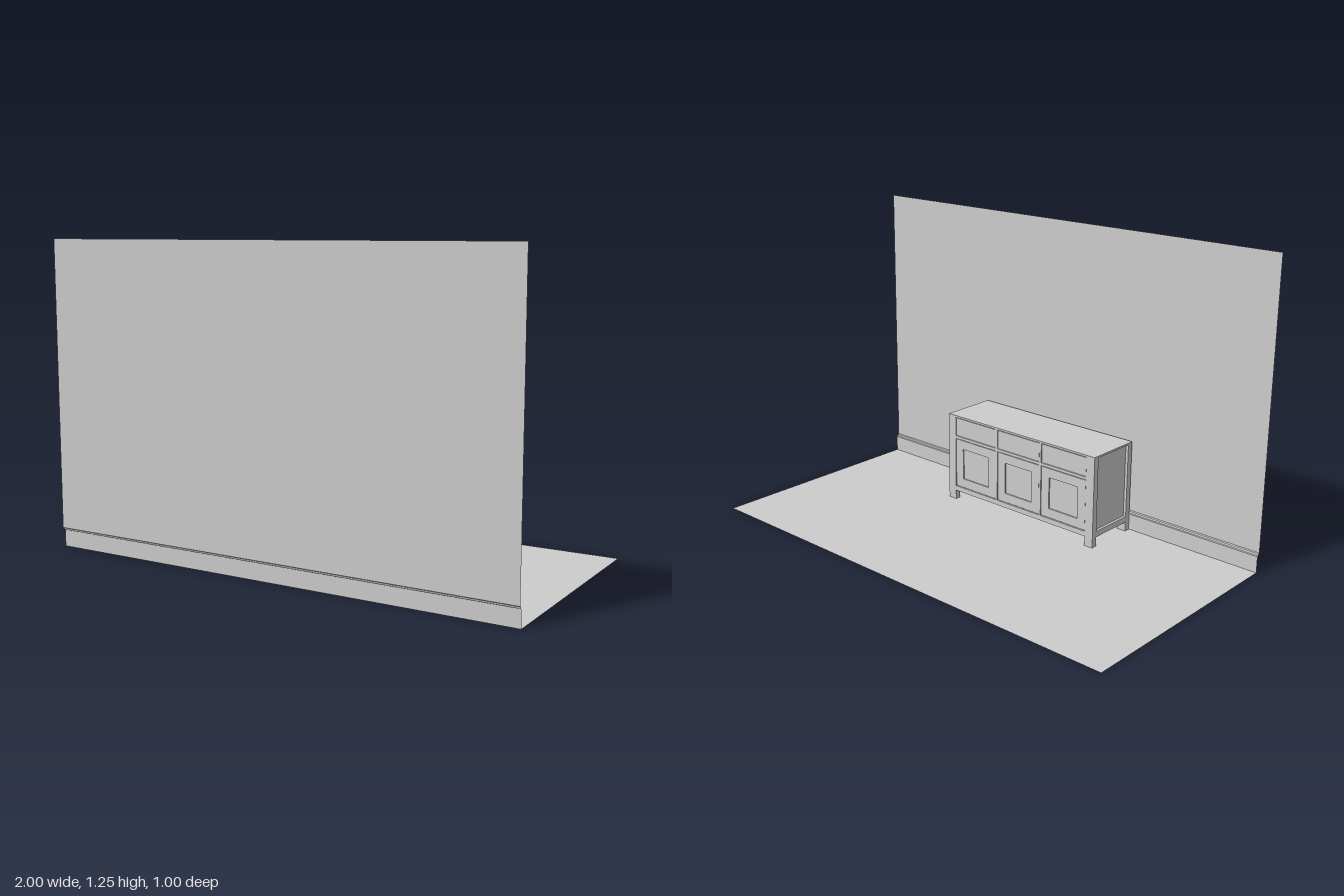
import * as THREE from 'three';

const grey = new THREE.MeshStandardMaterial({ color: 0xcccccc });
const thin = new THREE.MeshStandardMaterial({ color: 0xcccccc, side: THREE.DoubleSide, flatShading: true });

// Box given by its lower and upper limits on each axis
function box(parent, name, [x0, x1], [y0, y1], [z0, z1]) {
  const mesh = new THREE.Mesh(new THREE.BoxGeometry(x1 - x0, y1 - y0, z1 - z0), grey);
  mesh.position.set((x0 + x1) / 2, (y0 + y1) / 2, (z0 + z1) / 2);
  mesh.name = name;
  parent.add(mesh);
}

// Open sheet running the width of the room, following a [z, y] profile
function sheet(parent, name, profile) {
  const geometry = new THREE.PlaneGeometry(2, 1, 1, profile.length - 1);
  const p = geometry.attributes.position;
  for (let i = 0; i < p.count; i++) {
    const [z, y] = profile[Math.floor(i / 2)];
    p.setXYZ(i, p.getX(i), y, z);
  }
  geometry.computeVertexNormals();
  const mesh = new THREE.Mesh(geometry, thin);
  mesh.name = name;
  parent.add(mesh);
}

// Drawer front or door: a slab with a rectangular hole and a sunken panel
function framedFront(parent, name, [x0, x1], [y0, y1], z, border) {
  const rect = (target, d) => target.moveTo(x0 + d, y0 + d).lineTo(x1 - d, y0 + d)
    .lineTo(x1 - d, y1 - d).lineTo(x0 + d, y1 - d).closePath();
  const shape = rect(new THREE.Shape(), 0);
  shape.holes.push(rect(new THREE.Path(), border));
  const frame = new THREE.Mesh(new THREE.ExtrudeGeometry(shape, { depth: 0.012, bevelEnabled: false }), grey);
  frame.position.z = z;
  frame.name = name + 'Frame';
  parent.add(frame);
  box(parent, name + 'Panel', [x0 + border, x1 - border], [y0 + border, y1 - border], [z + 0.006, z + 0.012]);
}

function createSideboard() {
  const g = new THREE.Group();
  g.name = 'sideboard';
  const W = 0.398, H = 0.39, front = 0.236, back = 0.486;
  const post = 0.04, deep = 0.025, inner = W - post;

  // Top, floor of the carcass and back
  box(g, 'top', [-W, W], [H - 0.008, H], [front, back]);
  box(g, 'carcassFloor', [-inner, inner], [0.045, 0.06], [front + 0.01, back - 0.005]);
  box(g, 'backPanel', [-inner, inner], [0.04, H - 0.008], [back - 0.015, back - 0.005]);
  box(g, 'innerFace', [-inner, inner], [0.06, H - 0.008], [front + 0.015, front + 0.022]);

  // Corner posts and recessed sides
  for (const s of [-1, 1]) {
    const span = (a, b) => [Math.min(s * a, s * b), Math.max(s * a, s * b)];
    box(g, 'frontLeg', span(inner, W), [0, H - 0.008], [front, front + deep]);
    box(g, 'backLeg', span(inner, W), [0, H - 0.008], [back - deep, back]);
    box(g, 'sideRail', span(W - 0.025, W), [0.04, 0.065], [front + deep, back - deep]);
    box(g, 'sidePanel', span(W - 0.025, W - 0.012), [0.065, H - 0.008], [front + deep, back - deep]);
  }

  // Front rails and dividers
  box(g, 'bottomRail', [-inner, inner], [0.04, 0.062], [front, front + 0.015]);
  box(g, 'middleRail', [-inner, inner], [0.285, 0.297], [front, front + 0.015]);
  for (const x of [-0.12, 0.12]) {
    box(g, 'divider', [x - 0.005, x + 0.005], [0.062, H - 0.008], [front, front + 0.015]);
  }

  // Three bays, each a drawer above a panelled door
  const edges = [[-inner, -0.125], [-0.115, 0.115], [0.125, inner]];
  for (const [a, b] of edges) {
    const gap = 0.002, xs = [a + gap, b - gap];
    box(g, 'drawerFront', xs, [0.299, 0.379], [front + 0.002, front + 0.015]);
    framedFront(g, 'door', xs, [0.065, 0.282], front + 0.002, 0.04);
  }
  return g;
}

export function createModel() {
  const model = new THREE.Group();
  model.name = 'sideboardInRoom';

  // Room sheets
  sheet(model, 'wall', [[0.5, 1.25], [0.5, 0.08]]);
  sheet(model, 'skirtingBoard', [[0.5, 0.08], [0.495, 0.077], [0.493, 0.07], [0.488, 0.068], [0.488, 0]]);
  sheet(model, 'floor', [[0.488, 0], [-0.5, 0]]);

  model.add(createSideboard());
  return model;
}
